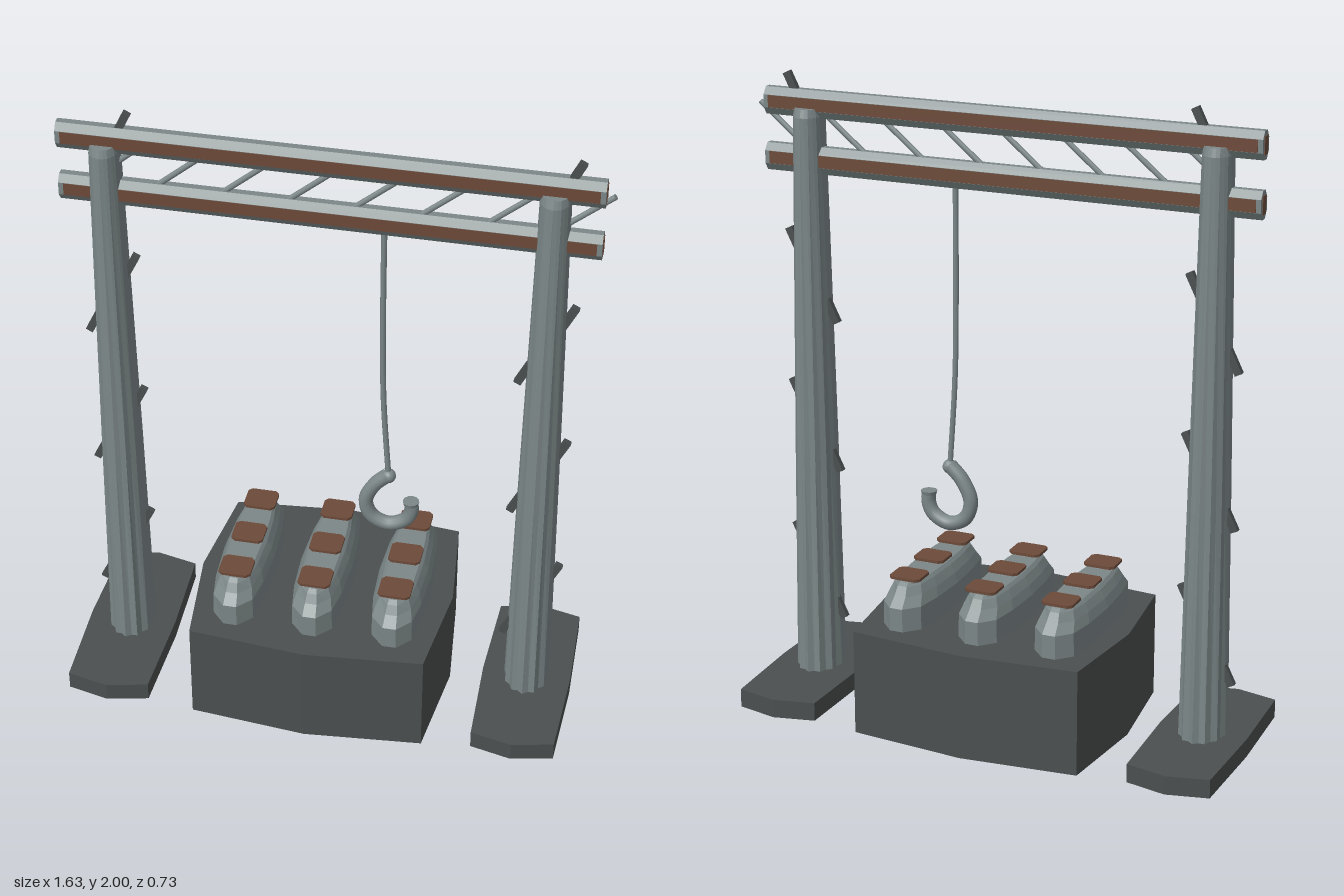
import * as THREE from 'three';

const material = (name, color) => {
  const m = new THREE.MeshStandardMaterial({ color });
  m.name = name;
  return m;
};

// Closed faceted solid from stacked rings; each ring is { y, pts: [[x, z], ...] }
function loft(rings) {
  const out = [];
  const n = rings[0].pts.length;
  const at = (r, i) => [r.pts[i % n][0], r.y, r.pts[i % n][1]];
  const centre = (r) => [
    r.pts.reduce((s, p) => s + p[0], 0) / n, r.y,
    r.pts.reduce((s, p) => s + p[1], 0) / n];
  const top = rings[rings.length - 1];
  for (let i = 0; i < n; i++) {
    for (let k = 0; k + 1 < rings.length; k++) {
      const a = at(rings[k], i), b = at(rings[k + 1], i);
      const c = at(rings[k + 1], i + 1), d = at(rings[k], i + 1);
      out.push(...a, ...b, ...c, ...a, ...c, ...d);
    }
    out.push(...centre(rings[0]), ...at(rings[0], i), ...at(rings[0], i + 1));
    out.push(...centre(top), ...at(top, i + 1), ...at(top, i));
  }
  const g = new THREE.BufferGeometry();
  g.setAttribute('position', new THREE.Float32BufferAttribute(out, 3));
  g.computeVertexNormals();
  return g;
}

export function createModel() {
  const group = new THREE.Group();
  const steel = material('steel', 0x7c8788);
  const darkIron = material('dark iron', 0x4b4f4f);
  const rust = material('rust', 0x6c4a39);

  const add = (name, geometry, mat, x = 0, y = 0, z = 0) => {
    const mesh = new THREE.Mesh(geometry, mat);
    mesh.name = name;
    mesh.position.set(x, y, z);
    group.add(mesh);
    return mesh;
  };

  // Eight-cornered slab with slightly bowed sides
  const slab = (w, wMid, d, dMid, h) => {
    const pts = [[wMid, 0], [w, d], [0, dMid], [-w, d], [-wMid, 0], [-w, -d], [0, -dMid], [w, -d]];
    return loft([{ y: 0, pts }, { y: h, pts }]);
  };
  add('pedestal', slab(0.373, 0.41, 0.328, 0.363, 0.34), darkIron, -0.017);

  // Fluted oval post section; the flutes fade out towards the top
  const postRing = (y, rx, rz, depth) => ({
    y,
    pts: Array.from({ length: 24 }, (_, i) => {
      const a = (i / 24) * Math.PI * 2;
      const r = i % 2 ? 1 - depth : 1;
      return [rx * r * Math.cos(a), rz * r * Math.sin(a)];
    }),
  });
  const postGeometry = loft([
    postRing(0.05, 0.073, 0.1, 0.1),
    postRing(0.8, 0.063, 0.086, 0.06),
    postRing(1.87, 0.046, 0.062, 0.02),
    postRing(1.895, 0.041, 0.054, 0.02),
  ]);
  const footGeometry = slab(0.132, 0.142, 0.307, 0.337, 0.06);
  const pegGeometry = new THREE.BoxGeometry(0.024, 0.08, 0.018);

  // Posts with feet and slanted climbing pegs
  for (const [side, x] of [['right', -0.675], ['left', 0.643]]) {
    add(side + 'Foot', footGeometry, darkIron, x);
    add(side + 'Post', postGeometry, steel, x);
    const pegs = [[0.055, 1.962], [0.061, 1.475], [0.063, 0.985], [0.064, 0.5],
      [-0.064, 1.255], [-0.066, 0.765], [-0.07, 0.265]];
    for (const [dx, y] of pegs) {
      add(side + 'Peg', pegGeometry, darkIron, x + dx, y).rotation.z = -0.46;
    }
  }

  // Two crossbeams with rust along both faces and on the ends
  const section = [[0.0425, 0.011], [0.02, 0.027], [-0.02, 0.027], [-0.0425, 0.011],
    [-0.0425, -0.011], [-0.02, -0.027], [0.02, -0.027], [0.0425, -0.011]];
  const beamGeometry = loft([{ y: -0.8, pts: section }, { y: 0.8, pts: section }]);
  beamGeometry.rotateZ(Math.PI / 2);
  for (const [side, y] of [['upper', 1.907], ['lower', 1.733]]) {
    add(side + 'Beam', beamGeometry, steel, -0.015, y);
    for (const s of [-1, 1]) {
      add(side + 'BeamRustStrip', new THREE.BoxGeometry(1.57, 0.038, 0.004), rust, -0.015, y, s * 0.0265);
      add(side + 'BeamEndPlate', new THREE.BoxGeometry(0.004, 0.055, 0.028), rust, -0.015 + s * 0.8, y);
    }
  }

  // Diagonal bracing between the beams
  const braceGeometry = new THREE.CylinderGeometry(0.009, 0.009, Math.hypot(0.2, 0.165), 8);
  for (let i = 0; i < 8; i++) {
    add('brace', braceGeometry, steel, 0.71 - i * 0.195, 1.817).rotation.z = -Math.atan2(0.2, 0.165);
  }

  // Hanging cable and hook
  const curve = (points) => new THREE.CatmullRomCurve3(points.map(([x, y]) => new THREE.Vector3(x, y, 0)));
  add('cable', new THREE.TubeGeometry(
    curve([[0.153, 1.71], [0.153, 1.4], [0.158, 1.1], [0.178, 0.79]]), 20, 0.009, 8), steel);
  const hookPath = curve([[0.178, 0.805], [0.135, 0.76], [0.107, 0.695], [0.125, 0.637],
    [0.18, 0.612], [0.235, 0.637], [0.252, 0.675], [0.25, 0.708]]);
  add('hook', new THREE.TubeGeometry(hookPath, 40, 0.023, 12), steel);
  add('hookTip', new THREE.CylinderGeometry(0.026, 0.023, 0.012, 12), steel, 0.25, 0.705);
  add('hookShank', new THREE.SphereGeometry(0.023, 12, 8), steel, 0.178, 0.8);

  // Faceted housings, each carrying three rust caps
  const housingRing = (y, w, d) => ({
    y,
    pts: [[w, 0], [w * 0.92, d * 0.5], [w * 0.75, d * 0.83], [w * 0.25, d], [-w * 0.25, d],
      [-w * 0.75, d * 0.83], [-w * 0.92, d * 0.5], [-w, 0], [-w * 0.92, -d * 0.5],
      [-w * 0.75, -d * 0.83], [-w * 0.25, -d], [w * 0.25, -d], [w * 0.75, -d * 0.83], [w * 0.92, -d * 0.5]],
  });
  const housingGeometry = loft([
    housingRing(0.33, 0.086, 0.272),
    housingRing(0.415, 0.084, 0.272),
    housingRing(0.445, 0.074, 0.242),
    housingRing(0.472, 0.06, 0.225),
    housingRing(0.482, 0.05, 0.21),
  ]);
  const capShape = new THREE.Shape();
  const cw = 0.051, ch = 0.045, c = 0.012;
  capShape.setFromPoints([[cw - c, -ch], [cw, -ch + c], [cw, ch - c], [cw - c, ch],
    [c - cw, ch], [-cw, ch - c], [-cw, c - ch], [c - cw, -ch]].map(([x, y]) => new THREE.Vector2(x, y)));
  const capGeometry = new THREE.ExtrudeGeometry(capShape, { depth: 0.009, bevelEnabled: false });
  capGeometry.rotateX(-Math.PI / 2);
  const neckGeometry = new THREE.CylinderGeometry(0.036, 0.046, 0.03, 10);
  for (const x of [-0.272, -0.018, 0.237]) {
    add('housing', housingGeometry, steel, x);
    for (const z of [-0.174, -0.003, 0.167]) {
      add('capNeck', neckGeometry, steel, x, 0.474, z);
      add('cap', capGeometry, rust, x, 0.488, z);
    }
  }
  return group;
}
